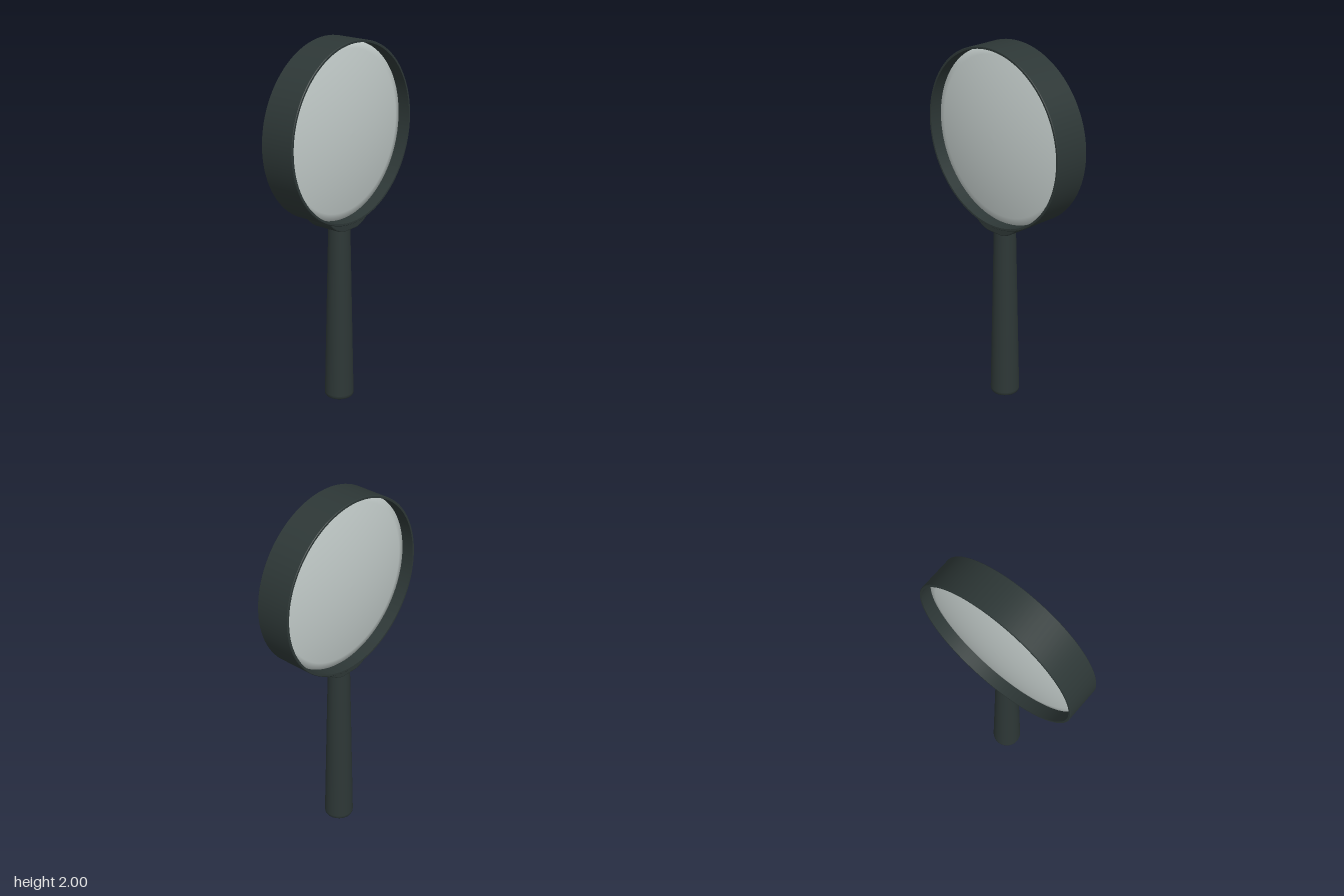
import * as THREE from 'three';

const LENS_Y = 1.515;
const lathe = (pts, seg) =>
  new THREE.LatheGeometry(pts.map(([x, y]) => new THREE.Vector2(x, y)), seg);

export function createModel() {
  const model = new THREE.Group();
  const frameMat = new THREE.MeshStandardMaterial({ color: 0x2d3736 });
  frameMat.name = 'dark frame';
  const glassMat = new THREE.MeshStandardMaterial({ color: 0xc3ccca });
  glassMat.name = 'pale glass';

  const add = (name, geometry, material, y = 0) => {
    const mesh = new THREE.Mesh(geometry, material);
    mesh.name = name;
    mesh.position.y = y;
    model.add(mesh);
    return mesh;
  };

  // Rim: thin deep band with tiny chamfers; doubled points keep edges crisp
  const corners = [
    [0.472, -0.1], [0.482, -0.1], [0.485, -0.097],
    [0.485, 0.097], [0.482, 0.1], [0.472, 0.1],
  ];
  const rimProfile = [[0.472, -0.1], ...corners.slice(1, 5).flatMap(p => [p, p]), [0.472, 0.1], [0.472, 0.1], [0.472, -0.1]];
  add('rim', lathe(rimProfile, 96).rotateX(Math.PI / 2), frameMat, LENS_Y);

  // Lens: two shallow spherical caps joined at the edge
  const R = 0.473, edge = 0.03, bulge = 0.055;
  const sphereR = (R * R + bulge * bulge) / (2 * bulge);
  const cap = [];
  for (let i = 0; i <= 12; i++) {
    const r = R * i / 12;
    cap.push([r, edge + bulge - sphereR + Math.sqrt(sphereR * sphereR - r * r)]);
  }
  const lensProfile = [...cap.map(([r, z]) => [r, -z]), ...cap.slice().reverse()];
  add('lens', lathe(lensProfile, 96).rotateX(Math.PI / 2), glassMat, LENS_Y);

  // Collar: curved bracket hugging the underside of the rim
  const s = new THREE.Shape();
  s.moveTo(-0.05, 0.995);
  s.lineTo(0.05, 0.995);
  s.quadraticCurveTo(0.11, 1.005, 0.165, 1.062);
  s.quadraticCurveTo(0, 1.01, -0.165, 1.062);
  s.quadraticCurveTo(-0.11, 1.005, -0.05, 0.995);
  const collar = new THREE.ExtrudeGeometry(s, {
    depth: 0.144, bevelThickness: 0.006, bevelSize: 0.006, bevelSegments: 2, curveSegments: 12,
  });
  add('collar', collar.translate(0, 0, -0.072), frameMat);

  // Handle: tapered grip with a softly rounded end
  add('handle', lathe([
    [0, 0], [0.066, 0], [0.074, 0.004], [0.079, 0.012], [0.08, 0.022],
    [0.08, 0.022], [0.06, 0.96], [0.059, 1.01], [0.059, 1.01], [0, 1.01],
  ], 32), frameMat);

  return model;
}
